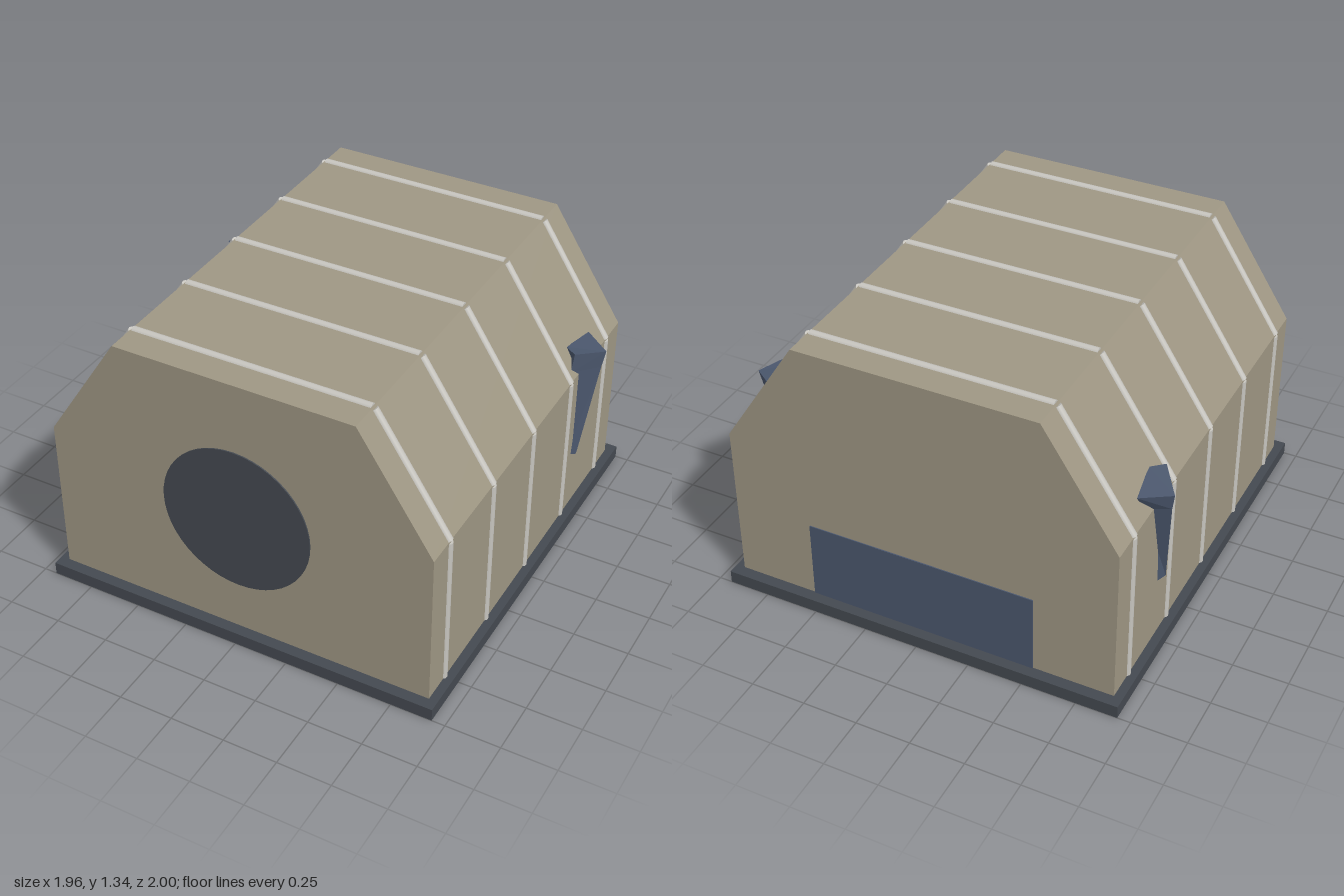
import * as THREE from 'three';

const mat = (name, color, side = THREE.FrontSide) => {
  const m = new THREE.MeshStandardMaterial({ color, side });
  m.name = name;
  return m;
};

export function createModel() {
  const group = new THREE.Group();
  const tan = mat('tan wall', 0x9e9683);
  const dark = mat('dark grey', 0x444950);
  const slate = mat('slate blue', 0x4a566c);
  const pale = mat('pale metal', 0xc6c4be);

  const add = (name, geometry, material, x = 0, y = 0, z = 0) => {
    const mesh = new THREE.Mesh(geometry, material);
    mesh.name = name;
    mesh.position.set(x, y, z);
    group.add(mesh);
    return mesh;
  };

  // Base slab
  add('base', new THREE.BoxGeometry(1.88, 0.06, 2), dark, 0, 0.03, 0);

  // Hangar body with chamfered roof
  const outline = [[-0.9, 0.06], [0.9, 0.06], [0.9, 0.8], [0.555, 1.33], [-0.555, 1.33], [-0.9, 0.8]];
  const shape = new THREE.Shape(outline.map(([x, y]) => new THREE.Vector2(x, y)));
  const body = new THREE.ExtrudeGeometry(shape, { depth: 1.895, bevelEnabled: false });
  add('body', body, tan, 0, 0, -0.947);

  // Round front hatch and rectangular rear door
  const hatch = new THREE.CylinderGeometry(0.35, 0.35, 0.008, 48).rotateX(Math.PI / 2);
  add('frontHatch', hatch, dark, 0, 0.65, 0.95);
  add('rearDoor', new THREE.BoxGeometry(1.06, 0.375, 0.008), slate, 0, 0.2475, -0.948);

  // Ribs: five rods on each panel, half sunk into the surface
  const rod = (a, b, z) => {
    const from = new THREE.Vector3(a[0], a[1], z);
    const to = new THREE.Vector3(b[0], b[1], z);
    const dir = to.clone().sub(from);
    const mesh = add('rib', new THREE.CylinderGeometry(0.021, 0.021, dir.length(), 12), pale);
    mesh.position.copy(from).add(to).multiplyScalar(0.5);
    mesh.quaternion.setFromUnitVectors(new THREE.Vector3(0, 1, 0), dir.normalize());
  };
  for (const z of [-0.8, -0.4, 0, 0.4, 0.8]) {
    rod([-0.55, 1.319], [0.55, 1.319], z);
    for (const s of [-1, 1]) {
      rod([s * 0.889, 0.06], [s * 0.889, 0.79], z);
      rod([s * 0.891, 0.795], [s * 0.553, 1.317], z);
    }
  }

  // Tapered wall brackets: four-sided rings from tip to cap
  const rings = [
    [[0.86, 0.355, -0.525], [0.885, 0.36, -0.46], [0.92, 0.36, -0.485], [0.9, 0.353, -0.524]],
    [[0.825, 0.81, -0.53], [0.875, 0.82, -0.445], [0.966, 0.8, -0.58], [0.865, 0.8, -0.63]],
    [[0.825, 0.91, -0.5], [0.884, 0.914, -0.455], [0.979, 0.88, -0.592], [0.855, 0.89, -0.685]],
  ];
  const bracket = (side) => {
    const positions = rings.flat().flatMap(([x, y, z]) => [x * side, y, z]);
    const index = [];
    const quad = (a, b, c, d) => {
      if (side > 0) index.push(a, b, c, a, c, d);
      else index.push(a, c, b, a, d, c);
    };
    for (let r = 0; r < 2; r++) {
      for (let i = 0; i < 4; i++) {
        const j = (i + 1) % 4;
        quad(r * 4 + i, r * 4 + j, r * 4 + 4 + j, r * 4 + 4 + i);
      }
    }
    quad(3, 2, 1, 0);
    quad(8, 9, 10, 11);
    const indexed = new THREE.BufferGeometry();
    indexed.setAttribute('position', new THREE.Float32BufferAttribute(positions, 3));
    indexed.setIndex(index);
    const flat = indexed.toNonIndexed();
    flat.computeVertexNormals();
    return flat;
  };
  add('leftBracket', bracket(1), slate);
  add('rightBracket', bracket(-1), slate);

  return group;
}
